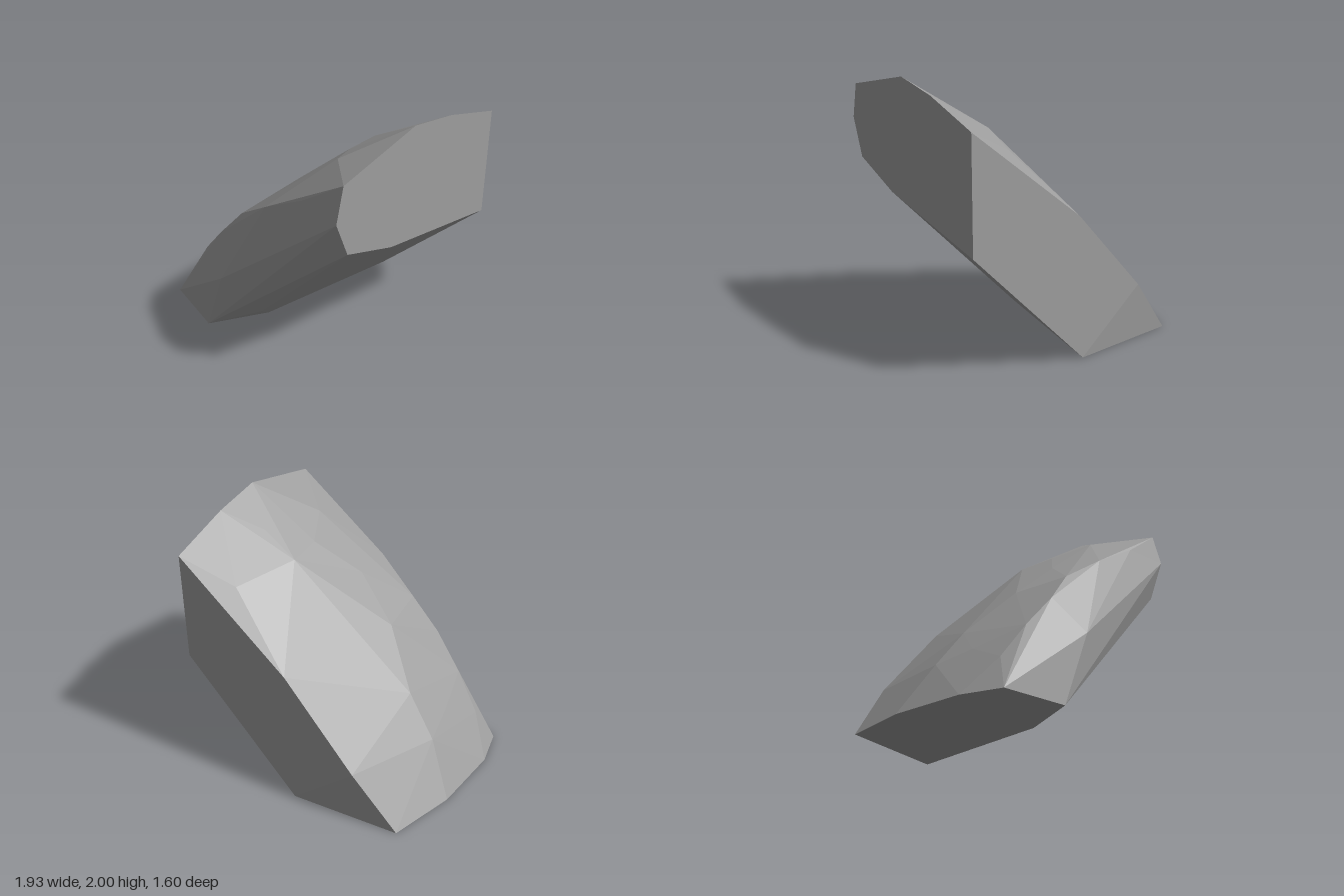
import * as THREE from 'three';
import { ConvexGeometry } from 'three/addons/geometries/ConvexGeometry.js';

export function createModel() {
  const group = new THREE.Group();
  group.name = 'rock';
  const stone = new THREE.MeshStandardMaterial({ color: 0x9e9e9e });
  stone.name = 'stone grey';

  // flat cut at the upper end: [y, z] on x = 0.96
  const upperCut = [
    [2, 0.06], [1.93, -0.32], [1.78, -0.8], [0.945, -0.8],
    [1.145, 0.25], [1.31, 0.69], [1.59, 0.8], [1.85, 0.74],
  ].map(([y, z]) => [0.96, y, z]);

  // flat cut on the ground: [x, z] on y = 0
  const groundCut = [
    [0.04, -0.8], [-0.8, -0.73], [-0.94, -0.22], [-0.97, 0.34],
    [-0.9, 0.64], [-0.41, 0.76], [-0.17, 0.34],
  ].map(([x, z]) => [x, 0, z]);

  // flat back edge, front bulge and underside corner
  const sides = [[-0.47, 0.443, -0.8], [0.09, 1.075, -0.8], [-0.18, 0.58, 0.8], [-0.02, 0.22, 0.55]];

  // facet corners of the arched top
  const arch = [
    [0.58, 1.58, -0.66], [0.68, 1.785, -0.17], [0.42, 1.62, -0.18], [0.44, 1.64, 0.1],
    [0.58, 1.735, 0.38], [0.21, 1.34, -0.31], [0.15, 1.37, 0.3], [0.33, 1.48, 0.52],
    [-0.08, 1.05, -0.26], [-0.18, 1.06, 0.2], [-0.49, 0.69, -0.03], [-0.72, 0.385, -0.08],
    [-0.67, 0.45, 0.2], [-0.78, 0.28, 0.52], [-0.58, 0.56, 0.58], [-0.35, 0.83, 0.63],
    [-0.13, 1.09, 0.61], [0.2, 1.33, 0.69], [0.6, 1.58, 0.73],
  ];

  const points = [...upperCut, ...groundCut, ...sides, ...arch].map((p) => new THREE.Vector3(...p));
  const boulder = new THREE.Mesh(new ConvexGeometry(points), stone);
  boulder.name = 'leaningBoulder';
  group.add(boulder);
  return group;
}
